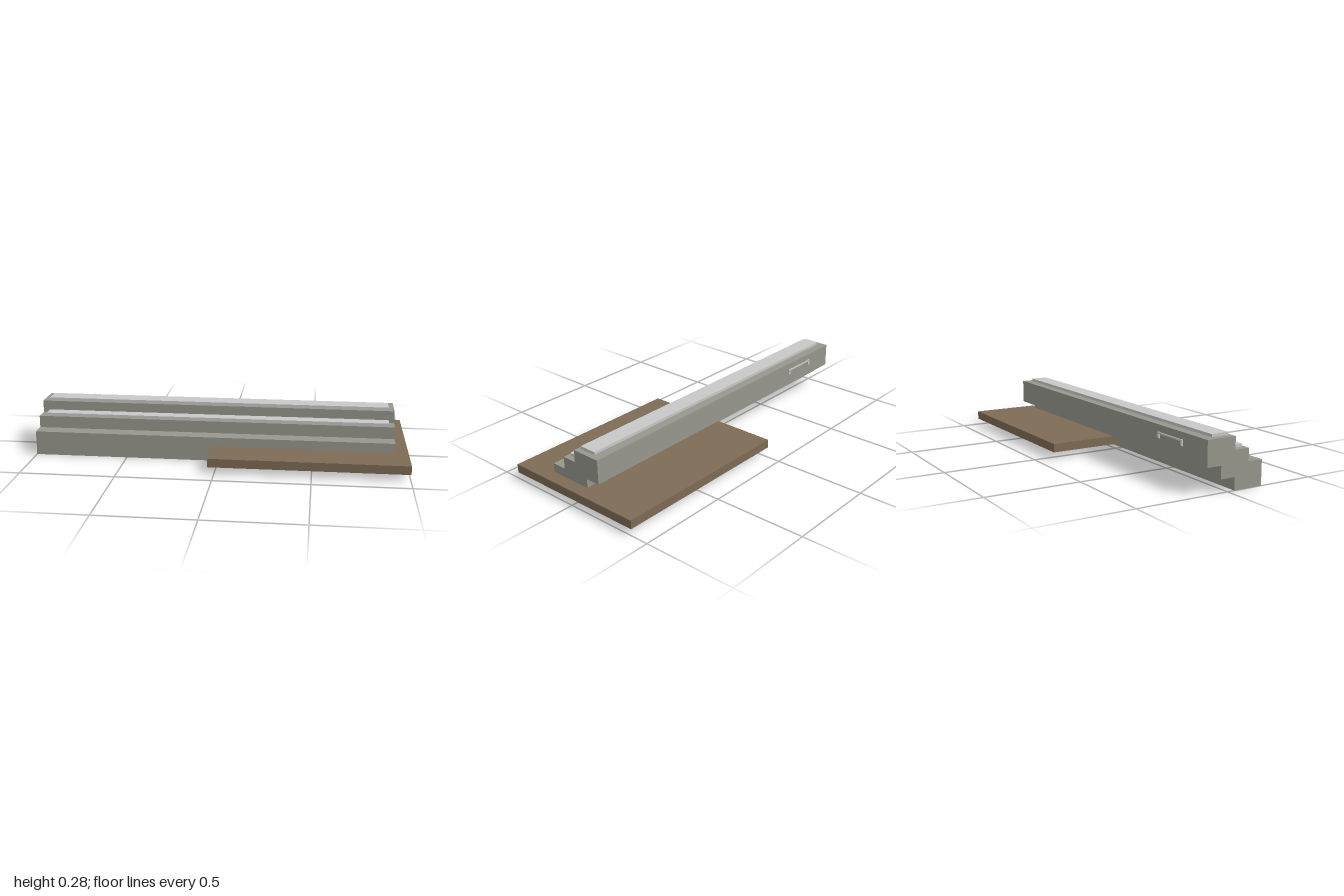
import * as THREE from 'three';

const mat = (name, color) => {
  const m = new THREE.MeshStandardMaterial({ color });
  m.name = name;
  return m;
};

export function createModel() {
  const model = new THREE.Group();
  model.name = 'steppedBench';
  const stone = mat('warm grey', 0x97978d);
  const pale = mat('pale grey', 0xc8c8c8);
  const wood = mat('brown', 0x7d6b55);

  const add = (name, geometry, material, parent = model) => {
    const mesh = new THREE.Mesh(geometry, material);
    mesh.name = name;
    parent.add(mesh);
  };
  // Box given by its limits on each axis
  const box = (x0, x1, y0, y1, z0, z1) =>
    new THREE.BoxGeometry(x1 - x0, y1 - y0, z1 - z0)
      .translate((x0 + x1) / 2, (y0 + y1) / 2, (z0 + z1) / 2);
  // Outline of [z, y] points, extruded along x
  const prism = (points, x0, x1) => {
    const shape = new THREE.Shape(points.map(([z, y]) => new THREE.Vector2(-z, y)));
    return new THREE.ExtrudeGeometry(shape, { depth: x1 - x0, bevelEnabled: false })
      .rotateY(Math.PI / 2).translate(x0, 0, 0);
  };

  // Stepped body, with matching steps on the underside
  const W = 0.16, H = 0.13, run = 0.08, rise = 0.065;
  const upper = [], lower = [];
  for (let i = 0; i < 3; i++) {
    const front = 0.2 - i * run, bottom = i * rise;
    upper.push([front, bottom + (i ? H - rise : 0)], [front, bottom + H]);
    lower.push([front - W, bottom + (i < 2 ? rise : H)], [front - W, bottom]);
  }
  // Lower steps run from the ground up; reverse them to close the loop
  const underside = [];
  for (let i = 2; i >= 0; i--) {
    underside.push(lower[2 * i], lower[2 * i + 1]);
  }
  add('steppedBody', prism([...upper, ...underside], -1, 0.93), stone);

  // Pale pads on the two upper steps
  add('lowerPad', box(-0.965, 0.9, 0.19, 0.21, 0.03, 0.105), pale);
  add('upperPad', box(-0.965, 0.9, 0.255, 0.275, -0.071, 0.024), pale);

  // Flat platform through the body
  add('platform', box(-0.035, 1, 0.035, 0.081, -0.402, 0.402), wood);

  // Rear handle: two chamfered brackets and a thin rail
  const handle = new THREE.Group();
  handle.name = 'rearHandle';
  model.add(handle);
  const bracket = [[-0.119, 0.19], [-0.128, 0.196], [-0.128, 0.225], [-0.119, 0.225]];
  for (const x of [-0.81, -0.615]) {
    add('handleBracket', prism(bracket, x, x + 0.015), pale, handle);
  }
  add('handleRail', box(-0.8, -0.61, 0.216, 0.223, -0.127, -0.121), pale, handle);

  return model;
}
